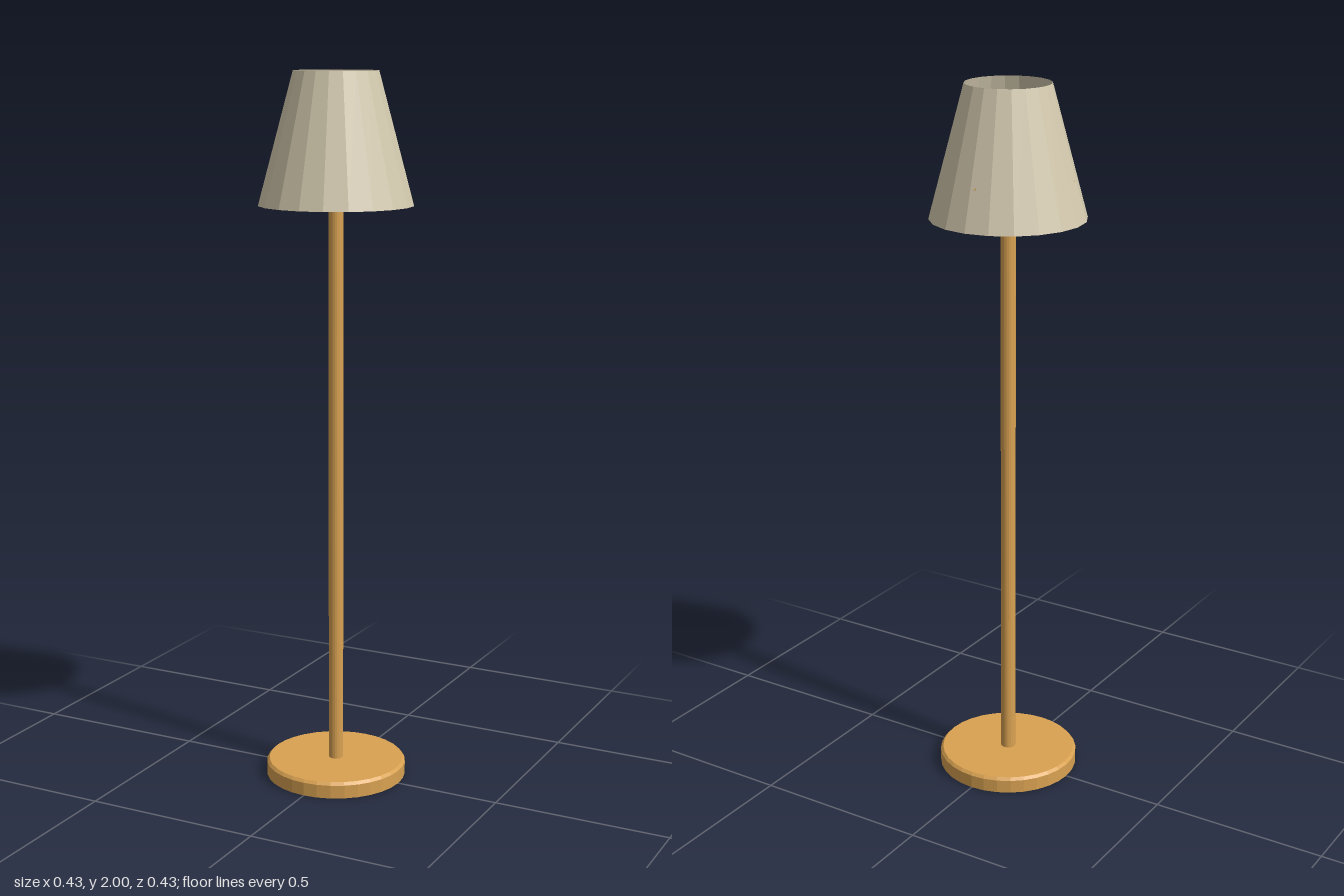
import * as THREE from 'three';

export function createModel() {
  const lamp = new THREE.Group();
  lamp.name = 'floorLamp';
  const wood = new THREE.MeshStandardMaterial({ name: 'warm wood', color: 0xd9a252, flatShading: true });
  const fabric = new THREE.MeshStandardMaterial({
    name: 'cream fabric', color: 0xd4caaf, flatShading: true, side: THREE.DoubleSide,
  });

  const add = (name, geometry, material) => {
    const mesh = new THREE.Mesh(geometry, material);
    mesh.name = name;
    lamp.add(mesh);
    return mesh;
  };
  const lathe = (points, sides) =>
    new THREE.LatheGeometry(points.map(([r, y]) => new THREE.Vector2(r, y)), sides);

  // Round foot with a small bevel on the top edge
  add('base', lathe([[0, 0], [0.2, 0], [0.2, 0.038], [0.193, 0.046], [0, 0.046]], 32), wood);

  // Pole, ending just above the support disc
  add('pole', new THREE.CylinderGeometry(0.021, 0.021, 1.69, 20), wood).position.y = 0.885 + 0.005;

  // Disc that carries the shade
  add('supportDisc', new THREE.CylinderGeometry(0.085, 0.085, 0.022, 32), wood).position.y = 1.718;

  // Three tapered arms rising from the disc to the shade
  const up = new THREE.Vector3(0, 1, 0);
  for (const degrees of [-93, 36, 164.5]) {
    const a = THREE.MathUtils.degToRad(degrees);
    const at = (r, y) => new THREE.Vector3(r * Math.cos(a), y, r * Math.sin(a));
    const start = at(0.07, 1.714), end = at(0.182, 1.753);
    const arm = add('shadeArm', new THREE.CylinderGeometry(0.006, 0.011, start.distanceTo(end), 6), wood);
    arm.position.copy(start).lerp(end, 0.5);
    arm.quaternion.setFromUnitVectors(up, end.clone().sub(start).normalize());
  }

  // Open faceted shade
  add('shade', new THREE.CylinderGeometry(0.117, 0.214, 0.36, 20, 1, true), fabric).position.y = 1.82;

  return lamp;
}
